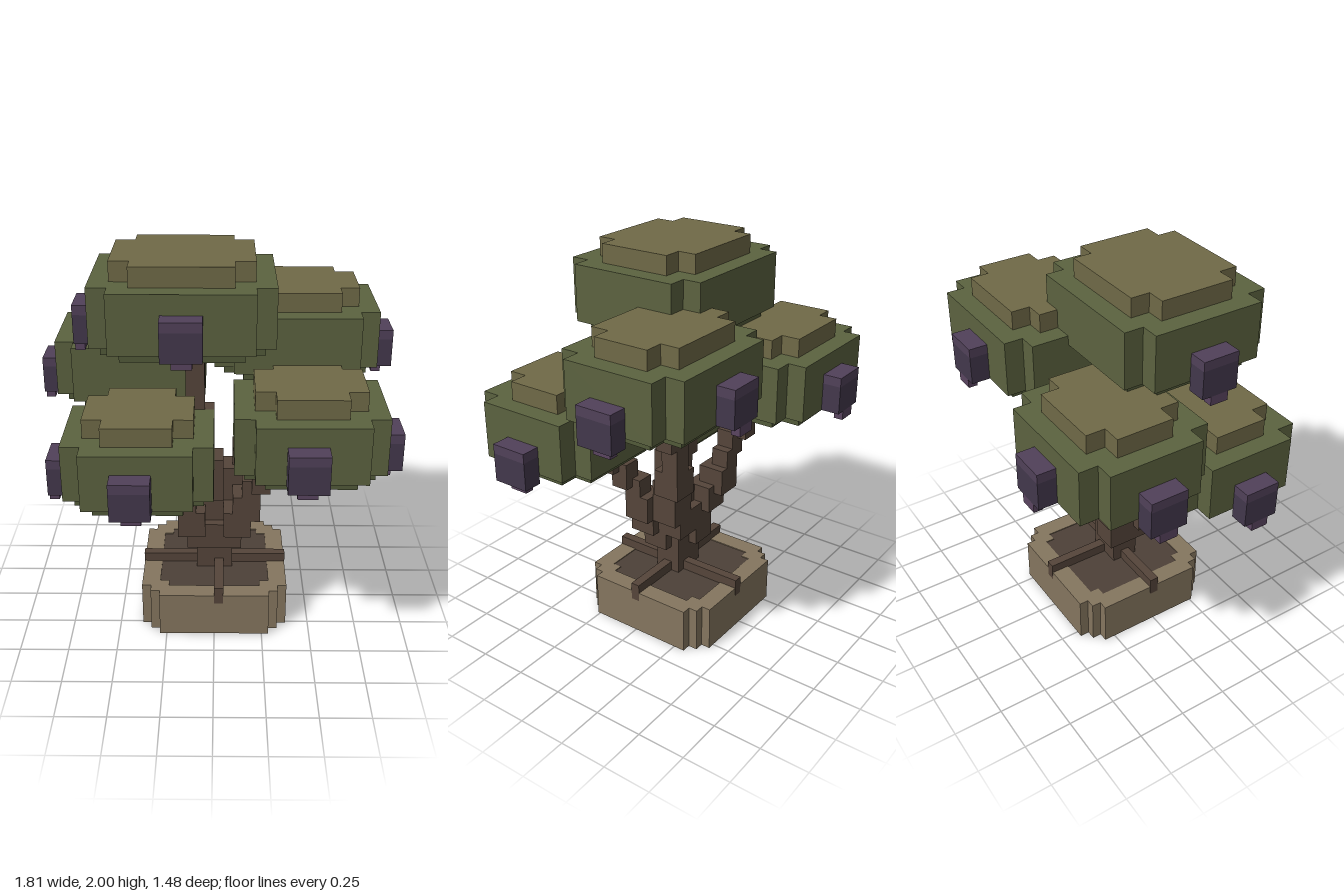
import * as THREE from 'three';

const U = 1 / 21; // one voxel
const mat = (color) => new THREE.MeshStandardMaterial({ color, flatShading: true });
const M = {
  leaf: mat(0x5c6340), crown: mat(0x706a47), under: mat(0x525a39),
  bark: mat(0x55453a), soil: mat(0x4d4138), pot: mat(0x85765f),
  pod: mat(0x43384c), podTop: mat(0x514159), tip: mat(0x5a4560),
};

function add(parent, name, geometry, material) {
  const m = new THREE.Mesh(geometry, material);
  m.name = name;
  parent.add(m);
  return m;
}

// Box from its minimum and maximum corners
function box(parent, name, a, b, material) {
  const g = new THREE.BoxGeometry(b[0] - a[0], b[1] - a[1], b[2] - a[2]);
  g.translate((a[0] + b[0]) / 2, (a[1] + b[1]) / 2, (a[2] + b[2]) / 2);
  return add(parent, name, g, material);
}

// Rectangle with stair-stepped corners: n steps of size s
function steppedOutline(w, d, n, s) {
  const corner = [];
  for (let i = 0; i <= n; i++) {
    corner.push([w / 2 - i * s, d / 2 - (n - i) * s]);
    if (i < n) corner.push([w / 2 - (i + 1) * s, d / 2 - (n - i) * s]);
  }
  const flip = corner.slice().reverse();
  return [
    ...corner,
    ...flip.map(([x, y]) => [-x, y]),
    ...corner.map(([x, y]) => [-x, -y]),
    ...flip.map(([x, y]) => [x, -y]),
  ].map(([x, y]) => new THREE.Vector2(x, y));
}

// Slab with stepped corners, optionally hollow
function slab(parent, name, cx, cz, w, d, y0, y1, n, s, material, hole) {
  const shape = new THREE.Shape(steppedOutline(w, d, n, s));
  if (hole) shape.holes.push(new THREE.Path(steppedOutline(hole, hole, 1, 1)));
  const g = new THREE.ExtrudeGeometry(shape, { depth: y1 - y0, bevelEnabled: false });
  g.rotateX(-Math.PI / 2);
  g.translate(cx, y0, cz);
  return add(parent, name, g, material);
}

// Hanging pod: min corner, lying along x (wide = 0) or z (wide = 2)
function pod(parent, x, y, z, wide) {
  const g = new THREE.Group();
  g.name = 'pod';
  parent.add(g);
  const [w, d] = wide === 0 ? [4, 2] : [2, 4];
  box(g, 'podBody', [x, y, z], [x + w, y + 3, z + d], M.pod);
  box(g, 'podTop', [x, y + 3, z], [x + w, y + 4, z + d], M.podTop);
  const [tx, tz] = wide === 0 ? [x + 1, z] : [x, z + 1];
  box(g, 'podTip', [tx, y - 1, tz], [tx + w / 2, y, tz + d / 2], M.tip);
}

// Each clump: x range, z range, base height, side pod (x side, z), end pod (z side, x)
const CLUMPS = [
  { x: [-12, 6], z: [-5, 11], y: 34, side: [-1, 1], end: [1, -5] },
  { x: [0, 17], z: [-11, 3], y: 29, side: [1, -6], end: [-1, 6] },
  { x: [2, 17], z: [0, 14], y: 22, side: [1, 5], end: [1, 7] },
  { x: [-15, 0], z: [0, 14], y: 19, side: [-1, 5], end: [1, -10] },
  { x: [-17, -1], z: [-13, 1], y: 25, side: [-1, -8], end: [-1, -11] },
];

function clump(parent, c) {
  const g = new THREE.Group();
  g.name = 'foliageClump';
  parent.add(g);
  const cx = (c.x[0] + c.x[1]) / 2, cz = (c.z[0] + c.z[1]) / 2;
  const w = c.x[1] - c.x[0], d = c.z[1] - c.z[0];
  slab(g, 'foliageUnderside', cx, cz, w - 2, d - 2, c.y - 1, c.y, 1, 2, M.under);
  slab(g, 'foliageBody', cx, cz, w, d, c.y, c.y + 6, 1, 2, M.leaf);
  slab(g, 'foliageCrown', cx, cz, w - 4, d - 4, c.y + 6, c.y + 8, 1, 2, M.crown);
  pod(g, c.side[0] > 0 ? c.x[1] : c.x[0] - 2, c.y - 1, c.side[1], 2);
  pod(g, c.end[1], c.y, c.end[0] > 0 ? c.z[1] : c.z[0] - 2, 0);
  return [cx, cz];
}

// Branch of stacked boxes stepping out toward a clump
function branch(parent, cx, cz, top) {
  const g = new THREE.Group();
  g.name = 'branch';
  parent.add(g);
  for (let y = 7; y < top; y += 2) {
    const t = (y + 1 - 7) / (top - 7);
    const w = t > 0.55 ? 2 : 3;
    const x = Math.round(cx * 0.75 * t - w / 2);
    const z = Math.round(0.5 + (cz * 0.75 - 0.5) * t - w / 2);
    box(g, 'branchStep', [x, y - 1, z], [x + w, Math.min(y + 2, top), z + w], M.bark);
  }
}

export function createModel() {
  const root = new THREE.Group();
  root.name = 'voxelTree';
  const tree = new THREE.Group();
  tree.name = 'tree';
  tree.scale.setScalar(U);
  tree.position.z = -U / 2;
  root.add(tree);

  // Planter
  slab(tree, 'planterBase', 0, 0, 16, 16, 0, 4, 2, 1, M.pot);
  slab(tree, 'planterRim', 0, 0, 16, 16, 4, 5, 2, 1, M.pot, 12);
  slab(tree, 'soil', 0, 0, 12, 12, 4, 4.9, 1, 1, M.soil);

  // Roots crossing the soil and hooking over the rim
  box(tree, 'rootAcross', [-8, 4.8, 0], [8, 6, 1], M.bark);
  box(tree, 'rootAlong', [0, 4.8, -8], [1, 6, 8], M.bark);
  for (const s of [-8, 8]) {
    box(tree, 'rootEnd', [s - 0.04, 4, 0], [s + 0.04, 6, 1], M.bark);
    box(tree, 'rootEnd', [0, 4, s - 0.04], [1, 6, s + 0.04], M.bark);
  }

  // Trunk, branches and foliage
  box(tree, 'trunk', [-2, 4.8, -1], [2, 9, 2], M.bark);
  for (const c of CLUMPS) {
    const [cx, cz] = clump(tree, c);
    branch(tree, cx, cz, c.y - 0.5);
  }
  return root;
}
